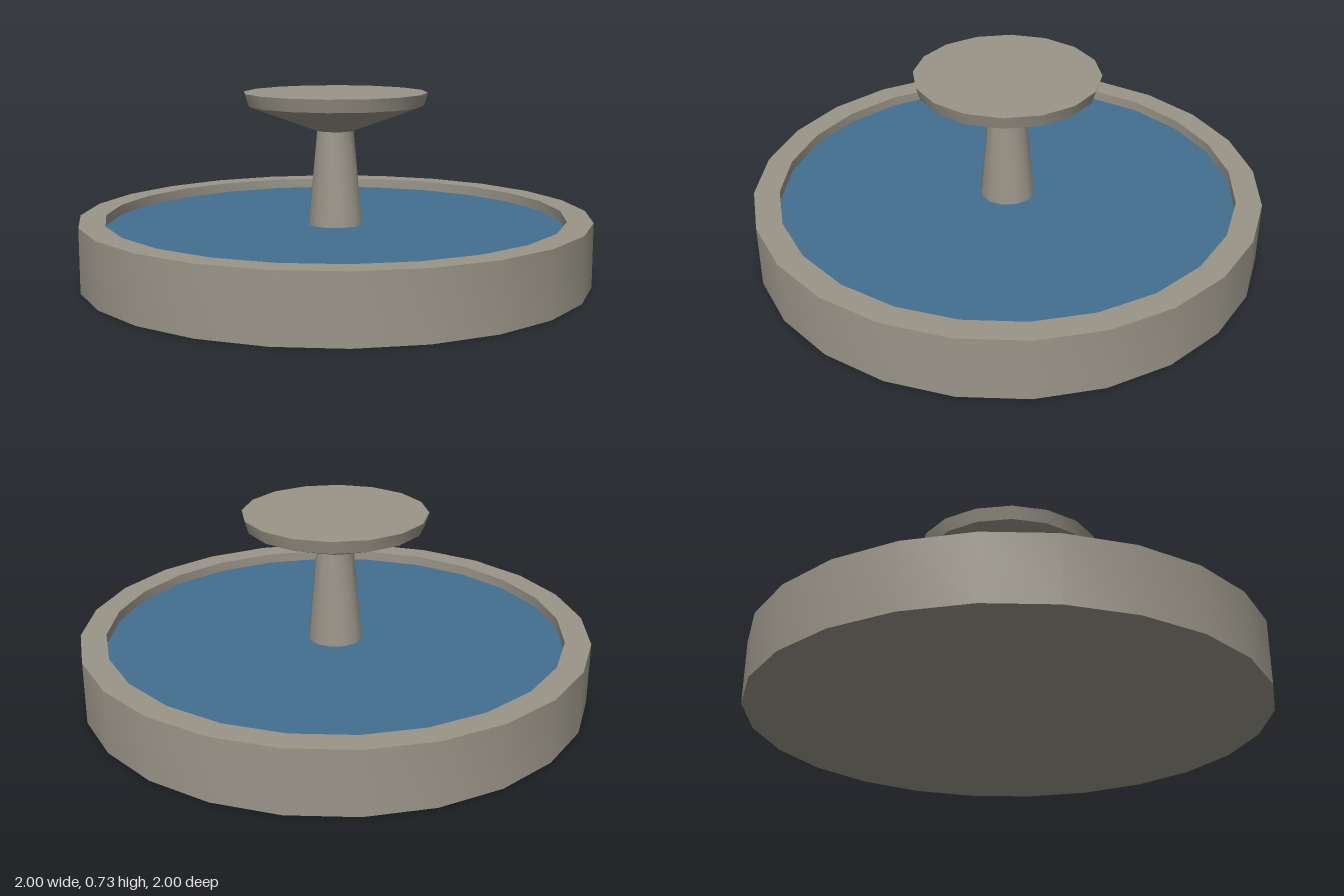
import * as THREE from 'three';
import { toCreasedNormals } from 'three/addons/utils/BufferGeometryUtils.js';

export function createModel() {
  const stone = new THREE.MeshStandardMaterial({ color: 0x9a9588 });
  stone.name = 'stone';
  const water = new THREE.MeshStandardMaterial({ color: 0x436e90 });
  water.name = 'water';

  const group = new THREE.Group();
  group.name = 'fountain';

  // Revolves a bottom-to-top profile, smooth around the sides and sharp at the rims
  function turned(name, profile, sides, material) {
    const points = profile.map(([r, y]) => new THREE.Vector2(r, y));
    const geometry = toCreasedNormals(new THREE.LatheGeometry(points, sides), 0.6);
    const mesh = new THREE.Mesh(geometry, material);
    mesh.name = name;
    group.add(mesh);
  }

  // Basin with a raised rim around the pool
  turned('basin', [[0, 0], [1, 0], [1, 0.25], [0.9, 0.25], [0.9, 0.2]], 24, stone);

  // Water surface, just below the rim
  const pool = new THREE.Mesh(new THREE.CircleGeometry(0.9, 24), water);
  pool.name = 'waterSurface';
  pool.rotation.x = -Math.PI / 2;
  pool.position.y = 0.21;
  group.add(pool);

  // Tapered column rising from the water
  turned('column', [[0.109, 0.2], [0.073, 0.58]], 12, stone);

  // Upper dish with a conical underside
  turned('upperDish', [[0, 0.58], [0.075, 0.58], [0.345, 0.68], [0.36, 0.73], [0, 0.73]], 16, stone);

  return group;
}
